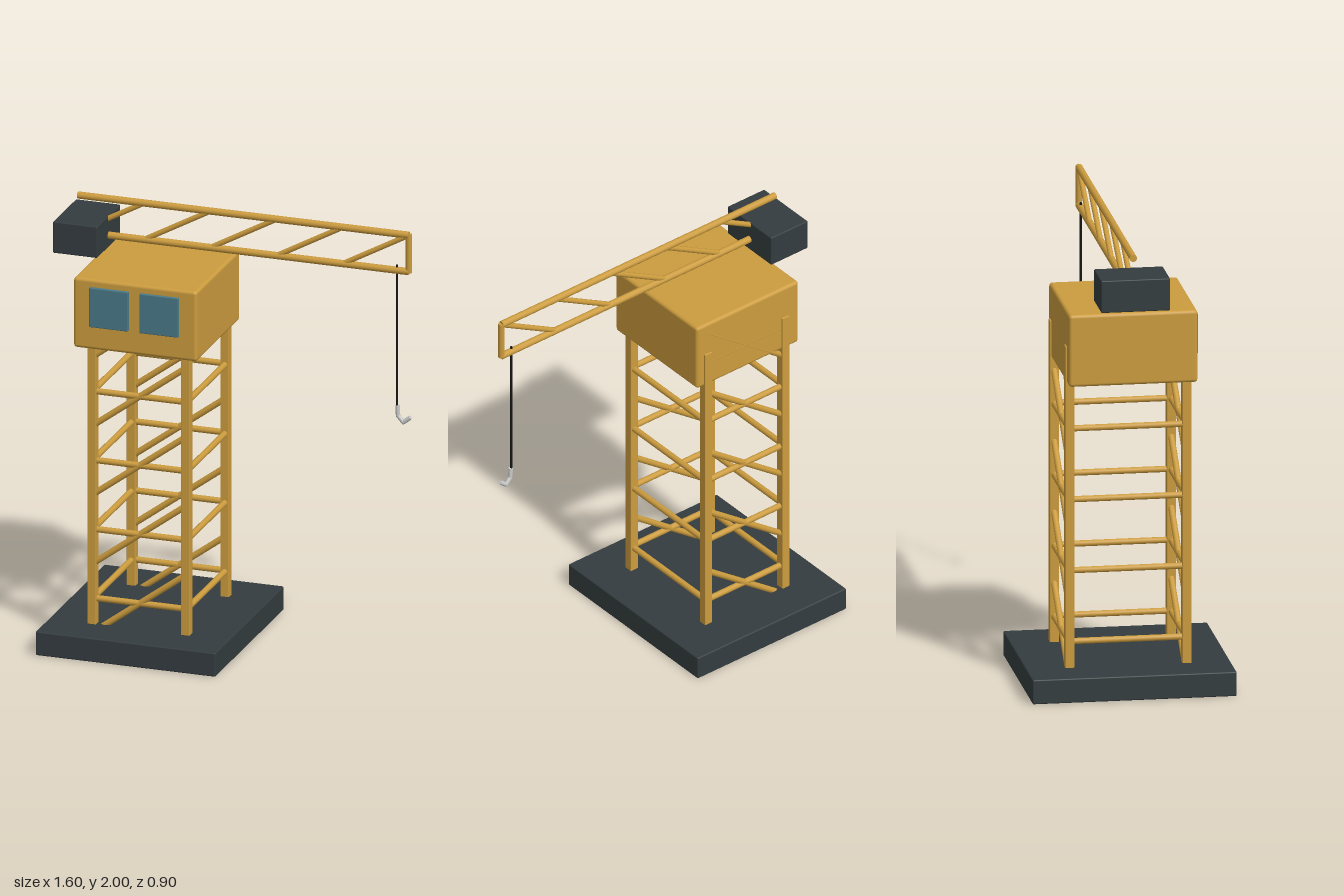
import * as THREE from 'three';
import { RoundedBoxGeometry } from 'three/addons/geometries/RoundedBoxGeometry.js';

const yellow = new THREE.MeshStandardMaterial({ color: 0xcc9c3e });
const dark = new THREE.MeshStandardMaterial({ color: 0x343c3f });
const glass = new THREE.MeshStandardMaterial({ color: 0x4a7a88 });
const black = new THREE.MeshStandardMaterial({ color: 0x151515 });
const steel = new THREE.MeshStandardMaterial({ color: 0xcccccc });

const UP = new THREE.Vector3(0, 1, 0);

// Box given by its minimum and maximum corners, with softened edges
function box(parent, name, min, max, material, radius) {
  const size = max.map((v, i) => v - min[i]);
  const mesh = new THREE.Mesh(new RoundedBoxGeometry(...size, 2, radius), material);
  mesh.position.set(...max.map((v, i) => (v + min[i]) / 2));
  mesh.name = name;
  parent.add(mesh);
}

// Round bar between two points
function bar(parent, name, from, to, radius, material = yellow) {
  const a = new THREE.Vector3(...from);
  const b = new THREE.Vector3(...to);
  const dir = b.clone().sub(a);
  const mesh = new THREE.Mesh(new THREE.CylinderGeometry(radius, radius, dir.length(), 12), material);
  mesh.position.copy(a).add(b).multiplyScalar(0.5);
  mesh.quaternion.setFromUnitVectors(UP, dir.normalize());
  mesh.name = name;
  parent.add(mesh);
}

function group(parent, name) {
  const g = new THREE.Group();
  g.name = name;
  parent.add(g);
  return g;
}

export function createModel() {
  const crane = new THREE.Group();
  crane.name = 'towerCrane';

  box(crane, 'base', [-0.78, 0, -0.45], [0.05, 0.11, 0.45], dark, 0.006);

  // Tower: four legs, level rails all round, diagonals on front and back
  const tower = group(crane, 'tower');
  const x0 = -0.582, x1 = -0.15, z = 0.258, leg = 0.02;
  for (const x of [x0, x1]) {
    for (const s of [-z, z]) {
      box(tower, 'leg', [x - leg, 0.1, s - leg], [x + leg, 1.56, s + leg], yellow, 0.003);
    }
  }
  for (let i = 0; i < 5; i++) {
    const y = 0.225 + i * 0.32;
    for (const s of [-z, z]) {
      bar(tower, 'rail', [x0, y, s], [x1, y, s], 0.014);
      bar(tower, 'diagonal', [x0, y - 0.16, s], [x1, y + 0.16, s], 0.014);
    }
    for (const x of [x0, x1]) bar(tower, 'sideRail', [x, y, -z], [x, y, z], 0.014);
  }

  // Cabin with two front windows
  const cabin = group(crane, 'cabin');
  box(cabin, 'cabinBody', [-0.66, 1.39, -0.271], [-0.09, 1.715, 0.297], yellow, 0.015);
  for (const x of [-0.583, -0.351]) {
    box(cabin, 'window', [x, 1.497, 0.285], [x + 0.18, 1.68, 0.309], glass, 0.004);
  }

  // Flat truss jib
  const jib = group(crane, 'jib');
  const back = -0.742, tip = 0.785, low = 1.815, high = 1.984, bays = 5;
  const step = (tip - back) / bays;
  bar(jib, 'topChord', [back, high, 0], [tip, high, 0], 0.016);
  bar(jib, 'bottomChord', [back, low, 0], [tip, low, 0], 0.016);
  bar(jib, 'endPost', [tip, low - 0.005, 0], [tip, high + 0.005, 0], 0.014);
  for (let i = 0; i < bays; i++) {
    const x = back + i * step;
    bar(jib, 'brace', [x, low, 0], [x + step, high, 0], 0.012);
  }
  box(crane, 'counterweight', [-0.805, 1.76, -0.152], [-0.6, 1.905, 0.152], dark, 0.005);

  // Cable and angular hook
  bar(crane, 'cable', [0.73, 1.17, 0], [0.73, 1.84, 0], 0.005, black);
  const hook = group(crane, 'hook');
  const path = [[0.733, 1.19, 0], [0.735, 1.142, 0], [0.76, 1.114, 0], [0.793, 1.14, 0]];
  for (let i = 0; i < 3; i++) {
    bar(hook, 'hookSegment', path[i], path[i + 1], 0.01, steel);
    if (i) {
      const joint = new THREE.Mesh(new THREE.SphereGeometry(0.01, 12, 8), steel);
      joint.position.set(...path[i]);
      joint.name = 'hookJoint';
      hook.add(joint);
    }
  }
  return crane;
}
